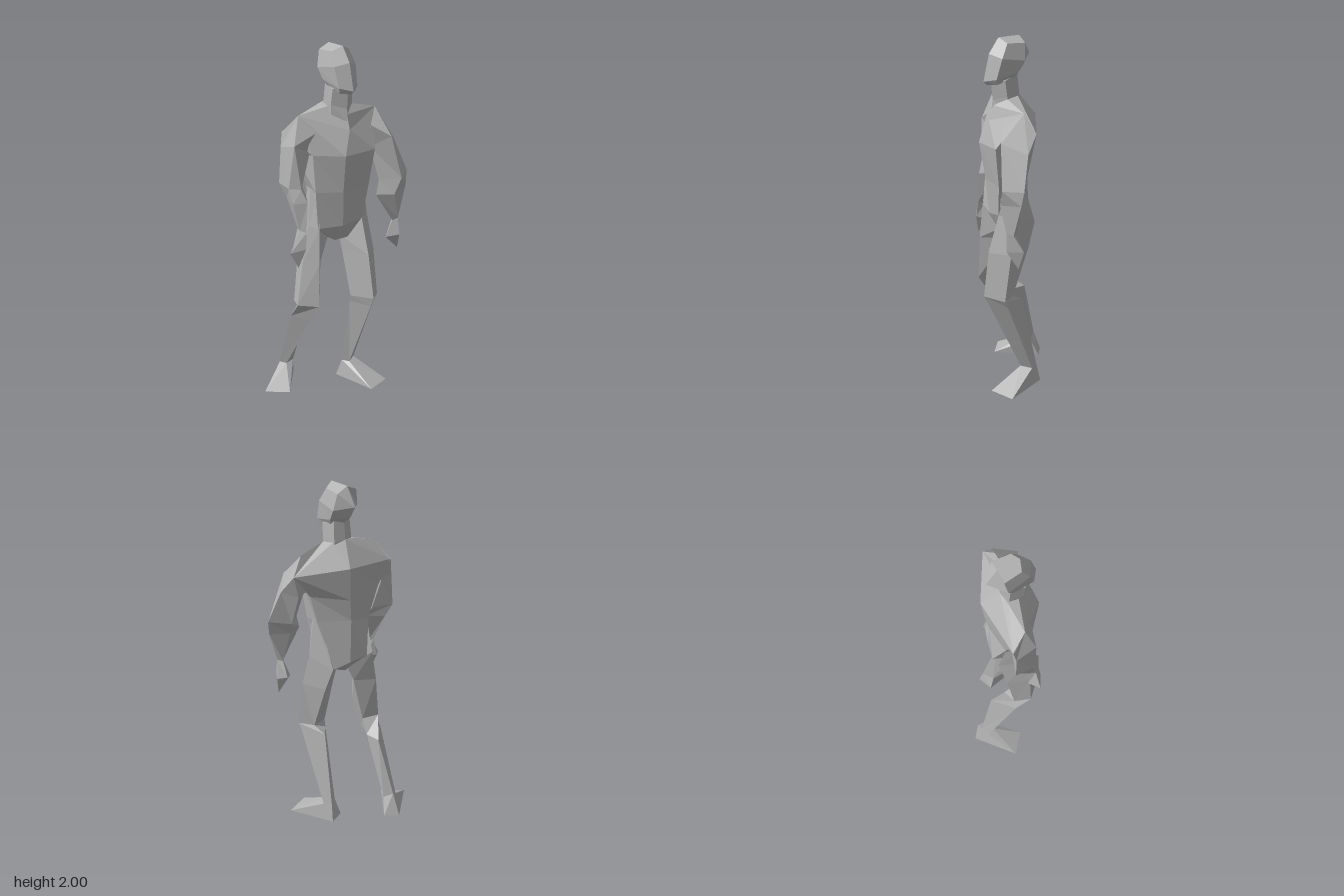
import * as THREE from 'three';

const gray = new THREE.MeshStandardMaterial({ color: 0xb4b4b4 });
gray.name = 'plain gray';

// Skin a list of rings (equal point counts) into a closed faceted solid.
function loft(name, rings) {
  const pos = [];
  const tri = (a, b, c) => pos.push(...a, ...b, ...c);
  const n = rings[0].length;
  for (let r = 0; r + 1 < rings.length; r++) {
    const a = rings[r], b = rings[r + 1];
    for (let i = 0; i < n; i++) {
      const j = (i + 1) % n;
      tri(a[i], b[i], b[j]);
      tri(a[i], b[j], a[j]);
    }
  }
  const first = rings[0], last = rings[rings.length - 1];
  for (let i = 1; i + 1 < n; i++) {
    tri(first[0], first[i], first[i + 1]);
    tri(last[0], last[i + 1], last[i]);
  }
  // turn the solid right side out if its signed volume is negative
  let volume = 0;
  const p = (i) => new THREE.Vector3().fromArray(pos, i);
  for (let i = 0; i < pos.length; i += 9) volume += p(i).dot(p(i + 3).cross(p(i + 6)));
  if (volume < 0) {
    for (let i = 0; i < pos.length; i += 9) {
      for (let k = 0; k < 3; k++) [pos[i + 3 + k], pos[i + 6 + k]] = [pos[i + 6 + k], pos[i + 3 + k]];
    }
  }
  // unshared corners give one flat normal per face
  const geometry = new THREE.BufferGeometry();
  geometry.setAttribute('position', new THREE.Float32BufferAttribute(pos, 3));
  geometry.computeVertexNormals();
  const mesh = new THREE.Mesh(geometry, gray);
  mesh.name = name;
  return mesh;
}

// Mirrored six-sided ring: front, front sides, back sides, back.
function headRing([fy, fz], [ax, ay, az], [bx, by, bz], [ky, kz]) {
  return [[0, fy, fz], [ax, ay, az], [bx, by, bz], [0, ky, kz], [-bx, by, bz], [-ax, ay, az]];
}

const tip = (x, y, z) => Array.from({ length: 4 }, () => [x, y, z]);

export function createModel() {
  const figure = new THREE.Group();
  figure.name = 'standing figure';

  // Head and neck
  figure.add(loft('head', [
    headRing([2.0, 0.11], [0.055, 1.975, 0.09], [0.065, 1.97, -0.012], [2.0, -0.015]),
    headRing([1.92, 0.17], [0.07, 1.9, 0.13], [0.085, 1.88, 0.0], [1.9, -0.078]),
    headRing([1.775, 0.205], [0.06, 1.79, 0.16], [0.075, 1.82, 0.035], [1.835, -0.04]),
    headRing([1.755, 0.185], [0.05, 1.76, 0.15], [0.06, 1.79, 0.05], [1.79, 0.01]),
  ]));
  figure.add(loft('neck', [
    headRing([1.78, 0.16], [0.065, 1.78, 0.11], [0.055, 1.81, 0.03], [1.82, 0.01]),
    headRing([1.67, 0.15], [0.07, 1.69, 0.1], [0.06, 1.69, 0.02], [1.7, 0.0]),
    headRing([1.6, 0.16], [0.07, 1.64, 0.1], [0.06, 1.64, 0.02], [1.65, 0.0]),
  ]));

  // Torso: front right, front, front left, back left, back, back right
  figure.add(loft('torso', [
    [[-0.07, 1.68, 0.07], [0, 1.64, 0.15], [0.07, 1.68, 0.1], [0.06, 1.69, 0.03], [0, 1.7, 0], [-0.07, 1.69, 0.01]],
    [[-0.225, 1.64, 0.02], [0, 1.56, 0.175], [0.23, 1.64, 0.095], [0.305, 1.545, 0.065], [0.045, 1.57, -0.09], [-0.265, 1.54, -0.07]],
    [[-0.18, 1.43, 0.09], [-0.05, 1.43, 0.208], [0.14, 1.44, 0.215], [0.19, 1.4, 0.07], [0.03, 1.38, -0.075], [-0.19, 1.4, -0.055]],
    [[-0.17, 1.22, 0.1], [-0.04, 1.22, 0.175], [0.12, 1.22, 0.185], [0.16, 1.25, 0.05], [0.01, 1.25, -0.06], [-0.135, 1.22, -0.04]],
    [[-0.17, 1.02, 0.12], [-0.03, 1.02, 0.16], [0.09, 1.045, 0.17], [0.11, 0.975, -0.035], [0.02, 1.0, -0.065], [-0.08, 1.02, -0.09]],
    [[-0.09, 0.95, 0.09], [-0.04, 0.92, 0.1], [0.03, 0.93, 0.12], [0.05, 0.93, 0.04], [0, 0.92, 0.0], [-0.06, 0.93, 0.01]],
  ]));

  // Arms, shoulder to fingertip: front, outer, back, inner
  figure.add(loft('leftArm', [
    [[0.23, 1.64, 0.095], [0.305, 1.545, 0.065], [0.22, 1.44, 0.065], [0.15, 1.56, 0.165]],
    [[0.235, 1.5, 0.238], [0.337, 1.45, 0.135], [0.27, 1.42, 0.07], [0.165, 1.43, 0.14]],
    [[0.29, 1.26, 0.265], [0.388, 1.27, 0.19], [0.28, 1.25, 0.12], [0.19, 1.25, 0.19]],
    [[0.25, 1.17, 0.255], [0.375, 1.19, 0.2], [0.27, 1.18, 0.15], [0.165, 1.17, 0.2]],
    [[0.29, 1.02, 0.24], [0.315, 1.01, 0.21], [0.3, 1.01, 0.18], [0.275, 1.0, 0.21]],
    [[0.3, 0.92, 0.245], [0.353, 0.92, 0.17], [0.3, 0.92, 0.145], [0.245, 0.9, 0.19]],
    tip(0.33, 0.82, 0.19),
  ]));
  figure.add(loft('rightArm', [
    [[-0.225, 1.64, 0.02], [-0.27, 1.54, -0.07], [-0.2, 1.43, -0.05], [-0.16, 1.55, 0.09]],
    [[-0.278, 1.49, 0.06], [-0.285, 1.46, -0.06], [-0.22, 1.42, -0.05], [-0.18, 1.44, 0.06]],
    [[-0.25, 1.25, 0.08], [-0.297, 1.25, 0.03], [-0.295, 1.26, -0.065], [-0.19, 1.25, -0.01]],
    [[-0.23, 1.18, 0.11], [-0.29, 1.17, 0.06], [-0.27, 1.18, -0.03], [-0.185, 1.19, 0.03]],
    [[-0.24, 1.01, 0.11], [-0.265, 1.02, 0.08], [-0.25, 1.02, 0.04], [-0.23, 1.0, 0.07]],
    [[-0.25, 0.92, 0.12], [-0.325, 0.9, 0.08], [-0.27, 0.92, 0.03], [-0.22, 0.9, 0.07]],
    tip(-0.28, 0.81, 0.09),
  ]));

  // Legs, waist to ankle: front, outer, back, inner
  const leftAnkle = [[0.11, 0.1, 0.04], [0.17, 0.1, 0.0], [0.145, 0.1, -0.045], [0.085, 0.1, 0.0]];
  const rightAnkle = [[-0.2, 0.1, -0.16], [-0.22, 0.1, -0.2], [-0.175, 0.13, -0.225], [-0.14, 0.1, -0.18]];
  figure.add(loft('leftLeg', [
    [[0.11, 1.25, 0.15], [0.16, 1.27, 0.08], [0.14, 1.25, 0.05], [0.08, 1.25, 0.07]],
    [[0.09, 1.045, 0.17], [0.18, 1.03, 0.1], [0.125, 0.98, -0.04], [0.02, 0.93, 0.05]],
    [[0.09, 0.84, 0.235], [0.19, 0.84, 0.15], [0.14, 0.84, 0.01], [0.03, 0.84, 0.07]],
    [[0.1, 0.59, 0.272], [0.19, 0.57, 0.19], [0.14, 0.57, 0.11], [0.05, 0.57, 0.125]],
    [[0.105, 0.53, 0.242], [0.185, 0.53, 0.17], [0.12, 0.53, 0.04], [0.057, 0.53, 0.11]],
    leftAnkle,
  ]));
  figure.add(loft('rightLeg', [
    [[-0.14, 1.22, 0.09], [-0.17, 1.23, 0.05], [-0.13, 1.22, -0.03], [-0.1, 1.22, 0.03]],
    [[-0.165, 1.02, 0.125], [-0.2, 1.03, 0.07], [-0.13, 1.02, -0.08], [-0.04, 0.92, 0.03]],
    [[-0.175, 0.82, 0.14], [-0.235, 0.82, 0.065], [-0.185, 0.82, -0.055], [-0.08, 0.82, 0.02]],
    [[-0.185, 0.57, 0.145], [-0.268, 0.57, 0.06], [-0.23, 0.56, -0.03], [-0.143, 0.55, 0.01]],
    [[-0.19, 0.46, 0.075], [-0.25, 0.47, -0.03], [-0.135, 0.47, -0.135], [-0.13, 0.47, -0.04]],
    rightAnkle,
  ]));

  // Feet: ankle down to the sole
  figure.add(loft('leftFoot', [
    leftAnkle,
    [[0.12, 0, 0.24], [0.265, 0, 0.19], [0.155, 0, -0.065], [0.065, 0, -0.03]],
  ]));
  figure.add(loft('rightFoot', [
    rightAnkle,
    [[-0.28, 0, -0.01], [-0.39, 0, -0.1], [-0.18, 0, -0.275], [-0.11, 0, -0.22]],
  ]));

  return figure;
}
